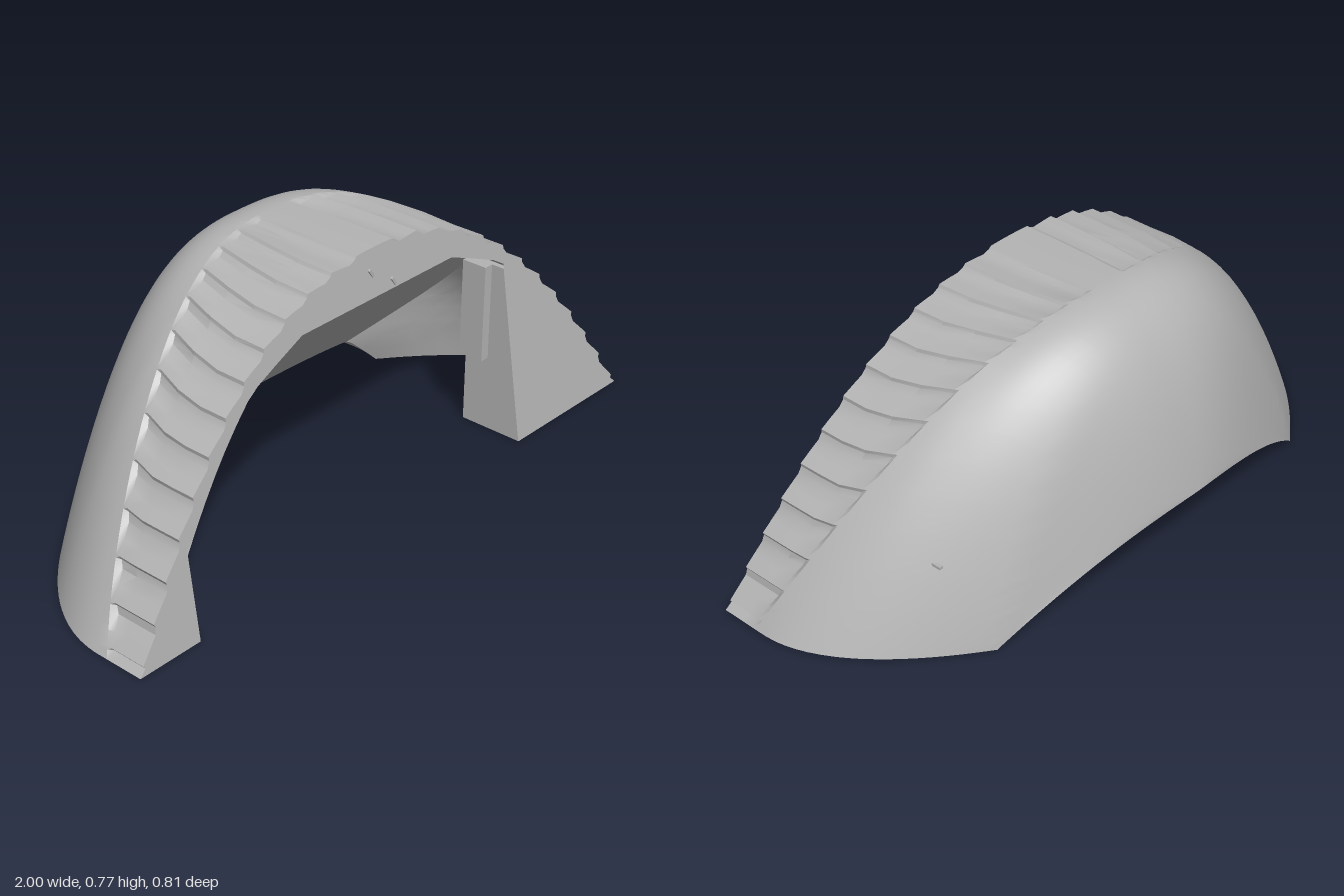
import * as THREE from 'three';
import { toCreasedNormals } from 'three/addons/utils/BufferGeometryUtils.js';

const V = (x, y, z) => new THREE.Vector3(x, y, z);
const { lerp, clamp } = THREE.MathUtils;

// Crown height, base half-width and fullness of the dome at depth z
const crown = (z) => {
  const d = Math.max(0, (-0.06 - z) / 0.345);
  return 0.775 - 0.38 * d ** 2.4 - 0.15 * d ** 6;
};
const base = (z) => {
  const e = Math.max(0, (0.25 - z) / 0.5);
  return 1 - 0.37 * e ** 1.9 - 0.35 * Math.max(0, e - 1);
};
const fullness = (z) => 2.3 + 0.3 * clamp((0.2 - z) / 0.2, 0, 1);
const halfWidth = (y, z) => base(z) * Math.max(0, 1 - y / crown(z)) ** (1 / fullness(z));
const frontZ = (y) => 0.405 - 0.157 * y; // tilted front plane
const ceilingZ = (y) => y - 0.34; // sloping inner plane

// Half-width of the cavity: the wall thickens toward the crown and the rear
const innerX = (y, z) => {
  let t = y < 0.45 ? 0.055 + 0.022 * y : y < 0.56 ? 0.065 + (y - 0.45) * 0.05 : 0.07 + (y - 0.56) * 1.19;
  t -= 0.03 * Math.exp(-((z / 0.12) ** 2)) * Math.min(1, y / 0.25);
  t += 0.3 * Math.max(0, -0.1 - z) * Math.min(1, y / 0.1);
  return Math.max(0, halfWidth(y, z) - t);
};

// Surface point: p runs across the arch (-1..1), z along the depth
const onDome = (p, z, scale = 1) =>
  V(base(z) * p * scale, crown(z) * (1 - Math.abs(p) ** fullness(z)) * scale, z);

// Rear rim, an arch curving in height and depth
const rim = (p) => {
  const u = Math.abs(p) ** 2.7;
  return V(0.63 * Math.sign(p) * u, 0.245 * (1 - u * u), -0.405 + 0.155 * u ** 1.7);
};

// Surface through rows of points
function grid(rows, crease = 0.5) {
  const n = rows[0].length, index = [];
  for (let i = 0; i < rows.length - 1; i++)
    for (let j = 0; j < n - 1; j++) {
      const a = i * n + j;
      index.push(a, a + 1, a + n, a + 1, a + n + 1, a + n);
    }
  const g = new THREE.BufferGeometry().setFromPoints(rows.flat());
  g.setIndex(index);
  return toCreasedNormals(g, crease);
}

// Flat outline laid on a plane z = rule(y)
function plate(points, rule) {
  const g = new THREE.ShapeGeometry(new THREE.Shape(points.map((q) => new THREE.Vector2(q[0], q[1]))));
  const pos = g.attributes.position;
  for (let i = 0; i < pos.count; i++) pos.setZ(i, rule(pos.getY(i)));
  g.computeVertexNormals();
  return g;
}

// End block: side profile extruded outward until it meets the arch
function block(side, x0, height, hole) {
  const s = new THREE.Shape();
  s.moveTo(0.404, 0).lineTo(frontZ(height) - 0.001, height).lineTo(0.2, height).lineTo(0.2, 0).closePath();
  if (hole) s.holes.push(new THREE.Path().absarc(0.3, 0.11, 0.045, 0, Math.PI * 2, true));
  const g = new THREE.ExtrudeGeometry(s, { depth: 1, bevelEnabled: false, curveSegments: 16 });
  const pos = g.attributes.position;
  for (let i = 0; i < pos.count; i++) {
    const z = pos.getX(i), y = pos.getY(i);
    const x = pos.getZ(i) < 0.5 ? x0 : halfWidth(y, z) - 0.025;
    pos.setXYZ(i, side * x, y, z);
  }
  // keep faces outward on the mirrored side
  if (side > 0) {
    for (let i = 0; i < pos.count; i += 3) {
      const a = V().fromBufferAttribute(pos, i), b = V().fromBufferAttribute(pos, i + 1);
      pos.setXYZ(i, b.x, b.y, b.z);
      pos.setXYZ(i + 1, a.x, a.y, a.z);
    }
  }
  return toCreasedNormals(g, 0.6);
}

export function createModel() {
  const model = new THREE.Group();
  const grey = new THREE.MeshStandardMaterial({ color: 0xb4b4b4, side: THREE.DoubleSide });
  grey.name = 'grey';
  const add = (name, geometry) => {
    const mesh = new THREE.Mesh(geometry, grey);
    mesh.name = name;
    model.add(mesh);
    return mesh;
  };

  // Columns across the arch: each rib is a flat tread followed by a short drop
  const half = [{ p: 0, d: 0 }];
  const ribs = 13;
  for (let k = 0; k < ribs; k++)
    for (const [f, d] of [[0.35, k ? 0.009 : 0], [0.7, 0], [0.78, 0.01], [1, 0.018]]) {
      const a = (k + f) / ribs;
      half.push({ p: 1.35 * a - 0.35 * a * a, d: a === 1 ? 0 : d });
    }
  const cols = [...half.slice(1).reverse().map((c) => ({ p: -c.p, d: c.d })), ...half];

  // Outer dome: ribbed front band, then smooth back drawn in to the rim
  const rows = [];
  const ribEnd = (p) => -0.06 + 0.36 * Math.abs(p) ** 2.2;
  for (let i = 0; i <= 3; i++)
    rows.push(cols.map(({ p, d }) => {
      const zf = frontZ(onDome(p, 0.4, 1 - d).y);
      return onDome(p, lerp(zf, ribEnd(p), i / 3), 1 - d);
    }));
  for (let i = 0; i <= 24; i++)
    rows.push(cols.map(({ p }) => {
      const end = rim(p), t = i / 24;
      const q = onDome(p, lerp(ribEnd(p) - 0.015, end.z, Math.sin(t * Math.PI / 2)));
      return q.addScaledVector(end.sub(onDome(p, end.z)), t ** 3);
    }));
  add('outerShell', grid(rows));

  // Flat front face with the arched opening
  const heights = [0, 0.05, 0.1, 0.15, 0.2, 0.25, 0.3, 0.35, 0.4, 0.45, 0.5, 0.545, 0.57, 0.6, 0.64];
  const edge = (y) => innerX(y, frontZ(y));
  const outline = rows[0].map((q) => [q.x, q.y]).reverse();
  outline.push([-0.79, 0], [-0.79, 0.25]);
  heights.filter((y) => y > 0.25).forEach((y) => outline.push([-edge(y), y]));
  heights.filter((y) => y > 0.54).reverse().forEach((y) => outline.push([edge(y), y]));
  outline.push([0.52, 0.53], [0.52, 0]);
  add('frontFace', plate(outline, frontZ));

  // Cavity side walls and bottom edges, mirrored
  const backZ = (y) => (y < 0.1 ? lerp(-0.22, -0.24, y / 0.1) : ceilingZ(y));
  for (const s of [-1, 1]) {
    const wall = heights.map((y) => Array.from({ length: 13 }, (_, i) => {
      const z = lerp(frontZ(y), backZ(y), i / 12);
      return V(s * innerX(y, z), y, z);
    }));
    add('innerWall', grid(wall));
    const outer = [], inner = [];
    for (let i = 0; i <= 16; i++) {
      const zo = lerp(0.405, -0.25, i / 16), zi = lerp(0.405, -0.22, i / 16);
      outer.push(V(s * base(zo), 0, zo));
      inner.push(V(s * innerX(0, zi), 0, zi));
    }
    add('bottomEdge', grid([outer, inner]));
  }

  // Sloping ceiling, with an arched lower edge
  const corner = innerX(0.1, -0.24);
  const arcY = (x) => 0.19 - 0.09 * (x / corner) ** 2;
  const upper = heights.filter((y) => y >= 0.1);
  const ceiling = [];
  for (let i = 1; i < 16; i++) {
    const x = lerp(-corner, corner, i / 16);
    ceiling.push([x, arcY(x)]);
  }
  upper.forEach((y) => ceiling.push([innerX(y, ceilingZ(y)), y]));
  [...upper].reverse().forEach((y) => ceiling.push([-innerX(y, ceilingZ(y)), y]));
  add('ceiling', plate(ceiling, ceilingZ));

  // Scooped underside between the outer rim and the ceiling edge
  const innerRim = (p) => {
    const u = Math.abs(p) ** 2.7, s = Math.sign(p);
    if (u > 0.8) {
      const y = lerp(0.1, 0, (u - 0.8) / 0.2);
      return V(s * innerX(y, backZ(y)), y, backZ(y));
    }
    const x = s * corner * u / 0.8;
    return V(x, arcY(x), ceilingZ(arcY(x)));
  };
  const scoop = [0, 0.5, 1].map((t) => cols.map(({ p }) => rim(p).lerp(innerRim(p), t)));
  add('rearUnderside', grid(scoop, 0.7));

  // End blocks: tall on the left, short with a peg hole on the right
  add('tallBlock', block(1, 0.52, 0.53, false));
  add('pegBlock', block(-1, 0.79, 0.25, true));
  add('blockLedge', new THREE.BoxGeometry(0.04, 0.3, 0.08)).position.set(0.51, 0.38, 0.24);

  // Small raised ticks on the front face and the side
  for (const [x, y, z, lx, ly, lz, rz] of [
    [-0.025, 0.71, 0.294, 0.008, 0.028, 0.009, 0.6],
    [0.058, 0.66, 0.302, 0.008, 0.028, 0.009, 0.6],
    [0.698, 0.248, -0.105, 0.012, 0.008, 0.038, 0],
  ]) {
    const tick = add('tick', new THREE.BoxGeometry(lx, ly, lz));
    tick.position.set(x, y, z);
    tick.rotation.z = rz;
  }
  return model;
}
